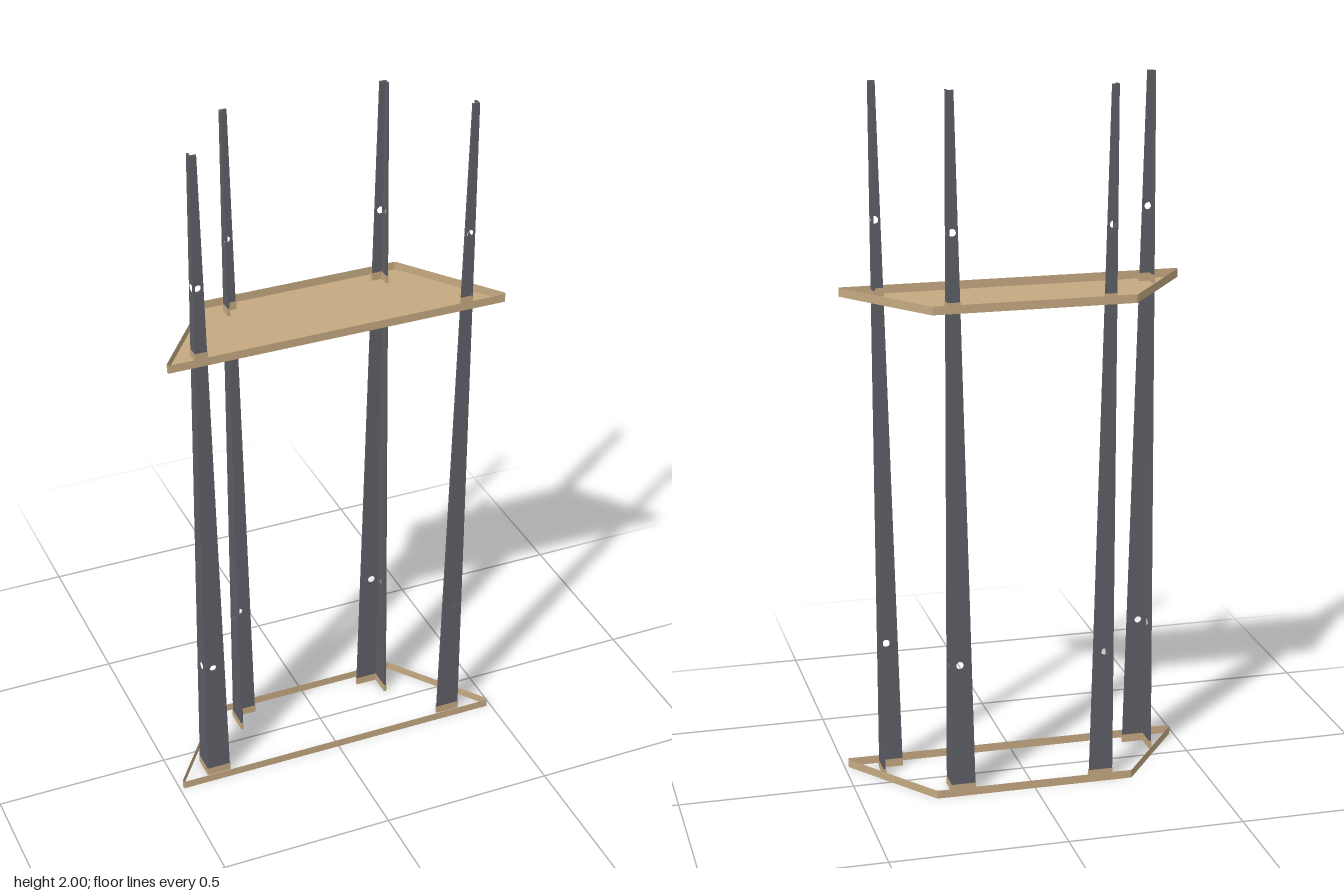
import * as THREE from 'three';

const T = 0.006;            // leg plate thickness
const H = 2;                // leg height
const BASE_W = 0.069, TOP_W = 0.02;
const SHELF_T = 0.024;
const widthAt = (y) => BASE_W + (TOP_W - BASE_W) * y / H;

const wood = new THREE.MeshStandardMaterial({ color: 0xc4a981, side: THREE.DoubleSide });
wood.name = 'wood';
const steel = new THREE.MeshStandardMaterial({ color: 0x5e5f66 });
steel.name = 'dark steel';

// outer corner of each angle-section leg: [name, x, z]
const LEGS = [
  ['frontLeftLeg', 0.403, 0.113], ['frontRightLeg', -0.403, 0.113],
  ['backLeftLeg', 0.237, -0.113], ['backRightLeg', -0.237, -0.113],
];

// shelf outline as [x, z], with slightly clipped front corners
const OUTLINE = [
  [-0.284, -0.142], [0.284, -0.142], [0.288, -0.14], [0.489, 0.134], [0.487, 0.142],
  [-0.487, 0.142], [-0.489, 0.134], [-0.288, -0.14],
];

function mesh(geometry, material, name) {
  const m = new THREE.Mesh(geometry, material);
  m.name = name;
  return m;
}

// tapered plate with two bolt holes, running from x = 0 in direction s
function armGeometry(s) {
  const shape = new THREE.Shape([[0, 0], [BASE_W, 0], [TOP_W, H], [0, H]]
    .map(([x, y]) => new THREE.Vector2(s * x, y)));
  for (const [x, y] of [[0.0255, 0.385], [0.013, 1.62]]) {
    const hole = new THREE.Path();
    hole.absarc(s * x, y, 0.0105, 0, Math.PI * 2, true);
    shape.holes.push(hole);
  }
  return new THREE.ExtrudeGeometry(shape, { depth: T, bevelEnabled: false, curveSegments: 16 });
}

// two tapered plates meeting at the outer corner
function makeLeg([name, x, z]) {
  const sx = -Math.sign(x), sz = -Math.sign(z);
  const leg = new THREE.Group();
  leg.name = name;
  const wide = armGeometry(sx).translate(x, 0, sz > 0 ? z : z - T);
  const side = armGeometry(sz).rotateY(-Math.PI / 2).translate(sx > 0 ? x + T : x, 0, z);
  leg.add(mesh(wide, steel, 'widePlate'), mesh(side, steel, 'sidePlate'));
  return leg;
}

// L-shaped slot around a leg at height y
function slotOutline([, x, z], y) {
  const sx = -Math.sign(x), sz = -Math.sign(z), g = 0.001, w = widthAt(y) + g, t = T + g;
  return [[-g, -g], [w, -g], [w, t], [t, t], [t, w], [-g, w]]
    .map(([a, b]) => [x + sx * a, z + sz * b]);
}

// upright band following a closed outline
function bandGeometry(points) {
  const pos = [];
  points.forEach(([ax, az], i) => {
    const [bx, bz] = points[(i + 1) % points.length];
    pos.push(ax, 0, az, ax, SHELF_T, az, bx, SHELF_T, bz);
    pos.push(ax, 0, az, bx, SHELF_T, bz, bx, 0, bz);
  });
  const g = new THREE.BufferGeometry();
  g.setAttribute('position', new THREE.Float32BufferAttribute(pos, 3));
  g.computeVertexNormals();
  return g;
}

// open edge band and slot walls, with an optional floor sheet
function makeShelf(name, y, hasFloor) {
  const shelf = new THREE.Group();
  shelf.name = name;
  shelf.position.y = y;
  shelf.add(mesh(bandGeometry(OUTLINE), wood, 'edgeBand'));
  const slots = LEGS.map((leg) => slotOutline(leg, y));
  for (const s of slots) shelf.add(mesh(bandGeometry(s), wood, 'slotWall'));
  if (hasFloor) {
    const flat = ([x, z]) => new THREE.Vector2(x, -z);
    const shape = new THREE.Shape(OUTLINE.map(flat));
    for (const s of slots) shape.holes.push(new THREE.Path(s.map(flat)));
    const floor = new THREE.ShapeGeometry(shape).rotateX(-Math.PI / 2);
    shelf.add(mesh(floor, wood, 'shelfFloor'));
  }
  return shelf;
}

export function createModel() {
  const model = new THREE.Group();
  model.name = 'shelfStand';
  for (const leg of LEGS) model.add(makeLeg(leg));
  model.add(makeShelf('lowerShelfFrame', 0, false));
  model.add(makeShelf('upperShelf', 1.405, true));
  return model;
}
